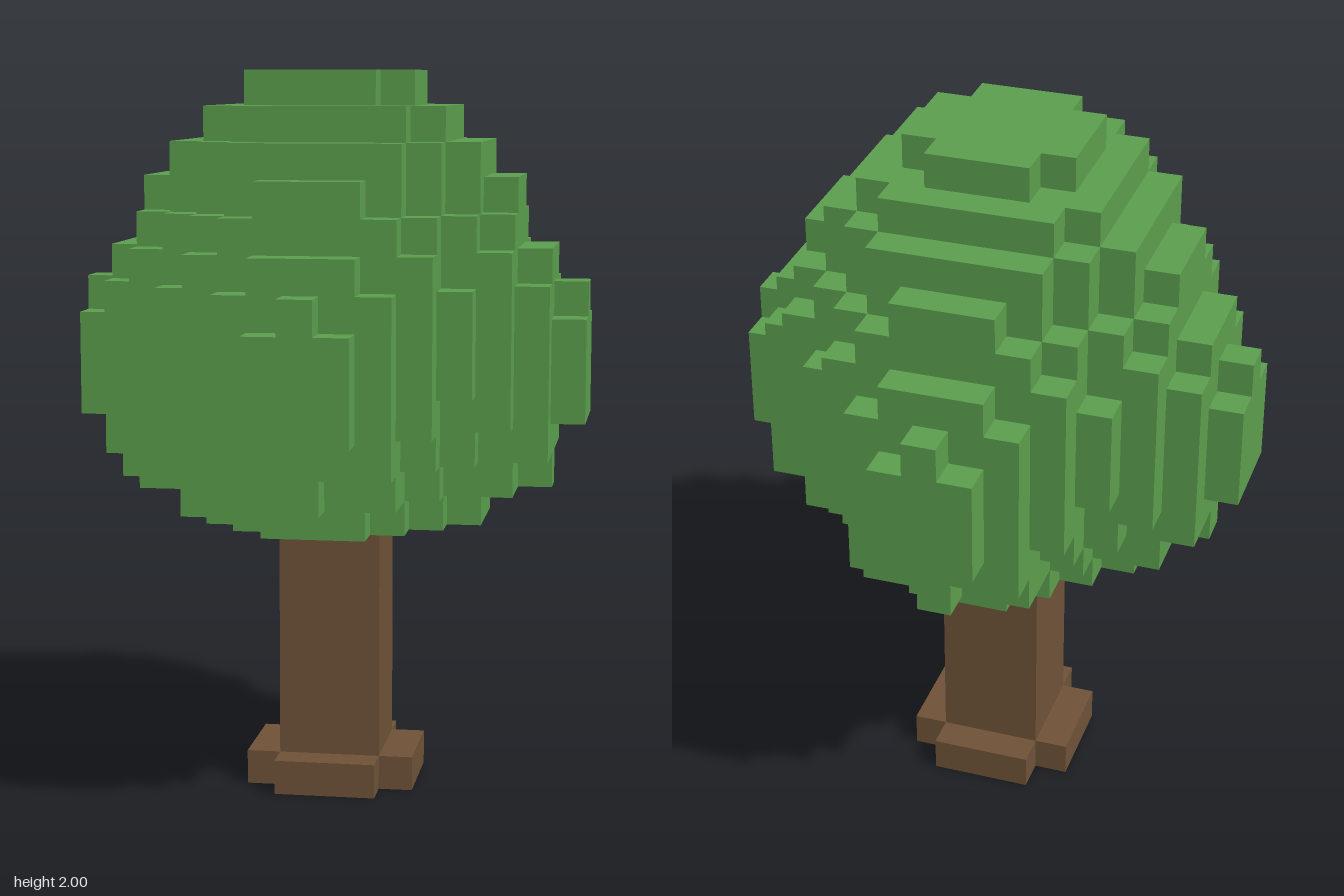
import * as THREE from 'three';

const CX = 0.0937, CZ = 0.0932; // block size across
const CY = 2 / 21;              // block height

// Each layer: half-width in blocks for rows 0, 1, 2... out from the centre (mirrored)
const crownLayers = [
  { from: 8, to: 9, rows: [4, 4, 3, 2, 1] },
  { from: 9, to: 10, rows: [6, 5, 5, 3, 2, 2, 0] },
  { from: 10, to: 11, rows: [6, 6, 6, 4, 3, 2, 2] },
  { from: 11, to: 12, rows: [7, 7, 6, 5, 3, 3, 2, 1] },
  { from: 12, to: 14, rows: [7, 7, 6, 5, 4, 3, 2, 1] },
  { from: 14, to: 15, rows: [7, 6, 6, 5, 4, 3, 2, 0] },
  { from: 15, to: 16, rows: [6, 6, 5, 5, 3, 3, 1] },
  { from: 16, to: 17, rows: [5, 5, 5, 4, 3, 2] },
  { from: 17, to: 18, rows: [5, 5, 4, 3, 2, 1] },
  { from: 18, to: 19, rows: [4, 4, 4, 3, 2] },
  { from: 19, to: 20, rows: [3, 3, 3, 2] },
  { from: 20, to: 21, rows: [2, 2, 1] },
];

// Stepped outline of a layer, mirrored in both directions
function steppedShape(rows) {
  const side = [];
  rows.forEach((w, i) => {
    if (w === rows[i - 1]) side.pop();
    else if (i > 0) side.push([w + 0.5, i - 0.5]);
    else side.push([w + 0.5, 0]);
    side.push([w + 0.5, i + 0.5]);
  });
  side.shift(); // the start on the axis lies on a straight edge
  const back = [...side].reverse();
  const outline = [
    ...side,
    ...back.map(([x, z]) => [-x, z]),
    ...side.map(([x, z]) => [-x, -z]),
    ...back.map(([x, z]) => [x, -z]),
  ];
  return new THREE.Shape(outline.map(([x, z]) => new THREE.Vector2(x * CX, z * CZ)));
}

// Slab of blocks between two layer heights
function slab(name, { from, to, rows }, material) {
  const geometry = new THREE.ExtrudeGeometry(steppedShape(rows), {
    depth: (to - from) * CY,
    bevelEnabled: false,
  });
  geometry.rotateX(-Math.PI / 2);
  geometry.translate(0, from * CY, 0);
  const mesh = new THREE.Mesh(geometry, material);
  mesh.name = name;
  return mesh;
}

export function createModel() {
  const leafGreen = new THREE.MeshStandardMaterial({ name: 'leafGreen', color: 0x5ca04e });
  const barkBrown = new THREE.MeshStandardMaterial({ name: 'barkBrown', color: 0x6f5338 });

  const tree = new THREE.Group();
  tree.name = 'tree';

  // Root flare and trunk
  tree.add(slab('rootFlare', { from: 0, to: 1, rows: [2, 2, 1] }, barkBrown));
  tree.add(slab('trunk', { from: 1, to: 8, rows: [1, 1] }, barkBrown));

  // Leafy crown, layer by layer
  const crown = new THREE.Group();
  crown.name = 'crown';
  crownLayers.forEach((layer, i) => crown.add(slab(`leafLayer${i + 1}`, layer, leafGreen)));
  tree.add(crown);

  return tree;
}
